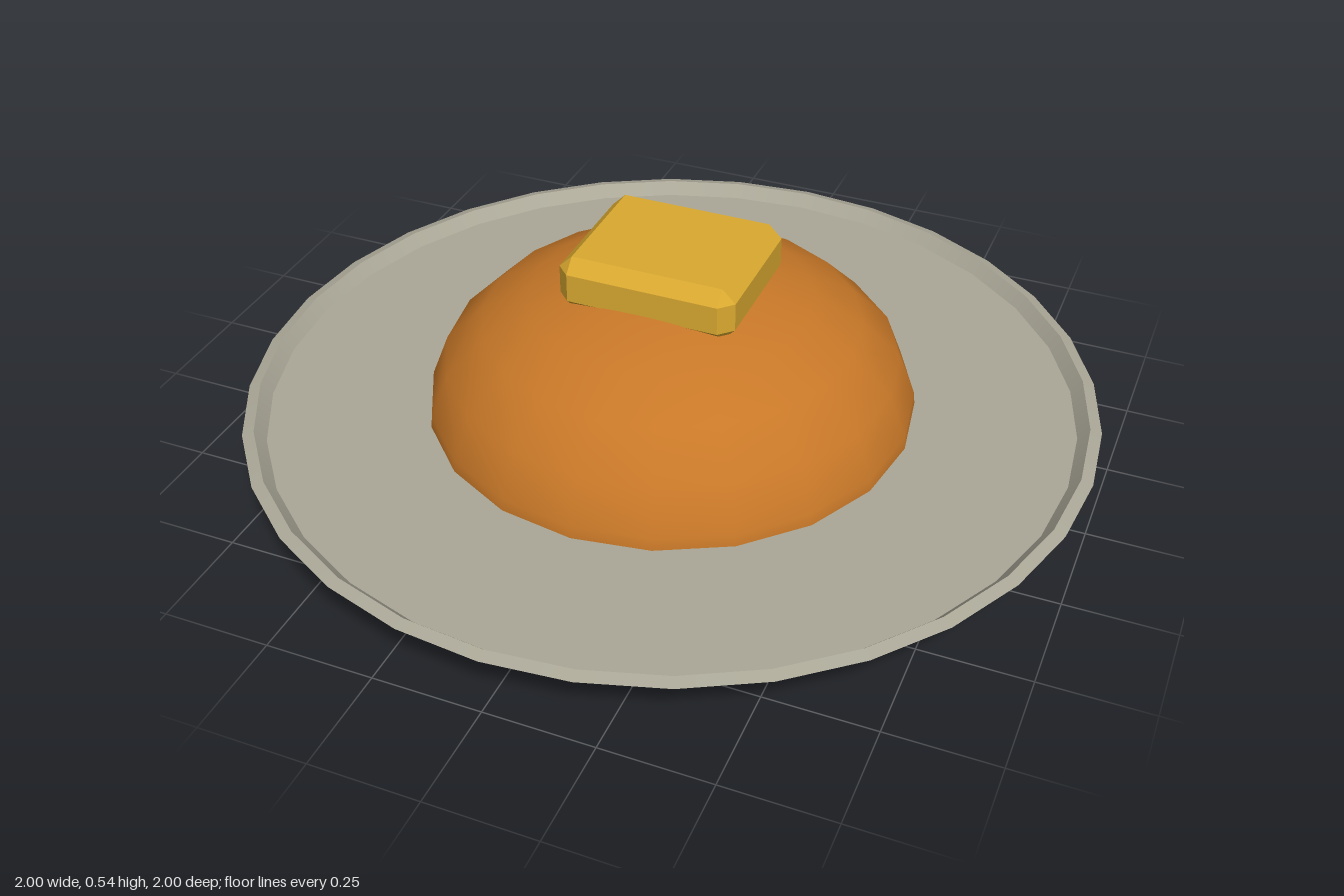
import * as THREE from 'three';
import { ConvexGeometry } from 'three/addons/geometries/ConvexGeometry.js';

const material = (name, color) => {
  const m = new THREE.MeshStandardMaterial({ color });
  m.name = name;
  return m;
};

const lathe = (points, sides) =>
  new THREE.LatheGeometry(points.map(([r, y]) => new THREE.Vector2(r, y)), sides);

// Box with every edge and corner cut flat by b
function bevelledBox(w, h, d, b) {
  const half = [w / 2, h / 2, d / 2];
  const points = [];
  for (const sx of [-1, 1]) for (const sy of [-1, 1]) for (const sz of [-1, 1]) {
    for (let axis = 0; axis < 3; axis++) {
      const p = half.map((v, i) => (i === axis ? v : v - b));
      points.push(new THREE.Vector3(sx * p[0], sy * p[1], sz * p[2]));
    }
  }
  return new ConvexGeometry(points);
}

export function createModel() {
  const model = new THREE.Group();
  model.name = 'bunOnPlate';
  const stoneware = material('stoneware', 0xaba898);
  const crust = material('crust', 0xc87828);
  const butterYellow = material('butterYellow', 0xdaa930);

  // Plate: one lathe per band, so the edges between bands stay sharp
  const plate = new THREE.Group();
  plate.name = 'plate';
  const bands = {
    foot: [[0, 0], [0.7, 0], [0.737, 0.036]],
    footTop: [[0.737, 0.036], [0.6, 0.06]],
    underside: [[0.6, 0.06], [0.955, 0.1]],
    rimSide: [[0.955, 0.1], [1, 0.138]],
    rimTop: [[1, 0.138], [0.973, 0.146]],
    innerWall: [[0.973, 0.146], [0.947, 0.116]],
    floor: [[0.947, 0.116], [0, 0.114]],
  };
  for (const [name, points] of Object.entries(bands)) {
    const band = new THREE.Mesh(lathe(points, 32), stoneware);
    band.name = name;
    plate.add(band);
  }
  model.add(plate);

  // Domed bun
  const bun = new THREE.Mesh(lathe([
    [0.573, 0.112], [0.57, 0.145], [0.53, 0.248], [0.44, 0.337],
    [0.33, 0.397], [0.2, 0.438], [0.1, 0.45], [0, 0.453],
  ], 20), crust);
  bun.name = 'bun';
  model.add(bun);

  // Butter pat sunk into the top of the bun
  const butter = new THREE.Mesh(bevelledBox(0.42, 0.13, 0.36, 0.031), butterYellow);
  butter.name = 'butter';
  butter.position.set(-0.002, 0.47, -0.004);
  model.add(butter);

  return model;
}
